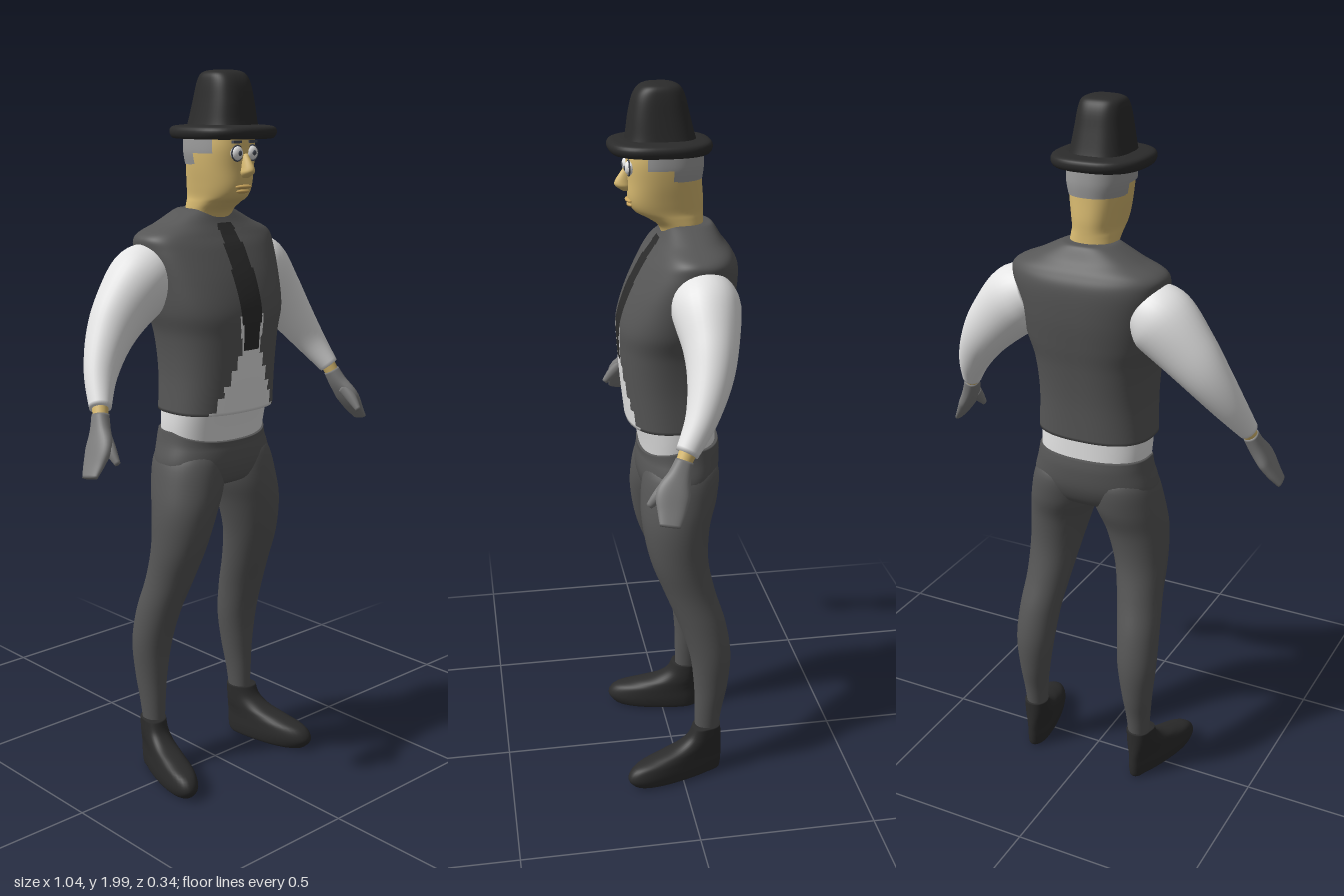
import * as THREE from 'three';

const mat = (name, color, double) => {
  const m = new THREE.MeshStandardMaterial({ color });
  m.name = name;
  if (double) m.side = THREE.DoubleSide;
  return m;
};

// Horizontal ring: height, half width, front z, back z, centre x
const H = (y, rx, zf, zb, cx = 0) => [cx, y, (zf + zb) / 2, rx, (zf - zb) / 2];

// Smooth interpolation between the given rings
function refine(rings, sub) {
  const out = [], n = rings.length;
  for (let i = 0; i < n - 1; i++) {
    const a = rings[Math.max(i - 1, 0)], b = rings[i], c = rings[i + 1], d = rings[Math.min(i + 2, n - 1)];
    for (let k = 0; k < sub; k++) {
      const t = k / sub;
      out.push(b.map((_, j) => 0.5 * (2 * b[j] + (c[j] - a[j]) * t
        + (2 * a[j] - 5 * b[j] + 4 * c[j] - d[j]) * t * t
        + (3 * b[j] - a[j] - 3 * c[j] + d[j]) * t * t * t)));
    }
  }
  out.push(rings[n - 1]);
  return out;
}

// Skin over superellipse rings [x, y, z, ru, rv]; path = rings follow the centre line,
// paint(x, y, z) picks a material index per face (-1 leaves a gap)
function loft(name, rings, material, { seg = 32, sub = 5, p = 2, path = false, paint, warp, caps = true } = {}) {
  const rs = refine(rings, sub), n = rs.length, pos = [];
  const centre = r => new THREE.Vector3(r[0], r[1], r[2]);
  rs.forEach((r, i) => {
    const T = new THREE.Vector3(0, 1, 0), V = new THREE.Vector3(0, 0, 1);
    if (path) {
      T.copy(centre(rs[Math.min(i + 1, n - 1)])).sub(centre(rs[Math.max(i - 1, 0)])).normalize();
      V.addScaledVector(T, -V.dot(T)).normalize();
    }
    const U = new THREE.Vector3().crossVectors(T, V);
    for (let j = 0; j < seg; j++) {
      const a = j / seg * Math.PI * 2, c = Math.cos(a), s = Math.sin(a);
      const q = centre(r)
        .addScaledVector(U, r[3] * Math.sign(c) * Math.abs(c) ** (2 / p))
        .addScaledVector(V, r[4] * Math.sign(s) * Math.abs(s) ** (2 / p));
      if (warp) warp(q);
      pos.push(q.x, q.y, q.z);
    }
  });
  for (const r of [rs[0], rs[n - 1]]) {
    const q = centre(r);
    if (warp) warp(q);
    pos.push(q.x, q.y, q.z);
  }
  const mats = Array.isArray(material) ? material : [material], lists = mats.map(() => []);
  const add = (corners, tris) => {
    const mid = k => corners.reduce((s, v) => s + pos[v * 3 + k], 0) / corners.length;
    const m = paint ? paint(mid(0), mid(1), mid(2)) : 0;
    if (m >= 0) lists[m].push(...tris);
  };
  for (let i = 0; i < n - 1; i++) for (let j = 0; j < seg; j++) {
    const k = (j + 1) % seg, a = i * seg + j, b = a + seg, c = i * seg + k, d = c + seg;
    add([a, b, c, d], [a, b, c, c, b, d]);
  }
  if (caps) for (let j = 0; j < seg; j++) {
    const k = (j + 1) % seg, e = (n - 1) * seg;
    add([j, k], [n * seg, j, k]);
    add([e + j, e + k], [n * seg + 1, e + k, e + j]);
  }
  const g = new THREE.BufferGeometry();
  g.setAttribute('position', new THREE.Float32BufferAttribute(pos, 3));
  g.setIndex(lists.flat());
  let start = 0;
  lists.forEach((l, m) => { g.addGroup(start, l.length, m); start += l.length; });
  g.computeVertexNormals();
  const mesh = new THREE.Mesh(g, Array.isArray(material) ? mats : material);
  mesh.name = name;
  return mesh;
}

export function createModel() {
  const root = new THREE.Group();
  root.name = 'figure';
  const vest = mat('vest grey', 0x565656), shirt = mat('shirt white', 0xe4e4e4), black = mat('hat black', 0x2b2b2b),
    skin = mat('skin', 0xd8ba70), hair = mat('hair grey', 0x9c9c9c, true), glove = mat('glove grey', 0x7c7c7c),
    lip = mat('lip', 0xc9a45c), dark = mat('pupil', 0x454a55);
  const put = (name, geo, m, x, y, z, sx = 1, sy = 1, sz = 1) => {
    const o = new THREE.Mesh(geo, m);
    o.name = name; o.position.set(x, y, z); o.scale.set(sx, sy, sz);
    root.add(o);
    return o;
  };

  // Shirt band above the trousers
  root.add(loft('shirtWaist', [H(0.98, 0.155, 0.085, -0.12), H(1.05, 0.161, 0.098, -0.119), H(1.12, 0.16, 0.115, -0.118)],
    shirt, { seg: 64, p: 2.3 }));

  // Waistcoat, with the tie and the stepped shirt opening as faces of it
  const paintVest = (x, y, z) => {
    const ax = Math.abs(x);
    if (z < 0 || y > 1.6) return 0;
    if (y < 1.25) return ax < 0.046 + 0.018 * Math.floor((1.25 - y) / 0.038) ? 1 : 0;
    const tie = 0.022 + 0.017 * Math.sin(Math.PI * (y - 1.25) / 0.38);
    if (y > 1.262 && ax < tie) return 2;
    return y < 1.36 && ax < tie + 0.008 ? 1 : 0;
  };
  root.add(loft('waistcoat', [
    H(1.09, 0.168, 0.128, -0.125), H(1.2, 0.164, 0.14, -0.13), H(1.3, 0.173, 0.147, -0.142),
    H(1.37, 0.193, 0.147, -0.155), H(1.45, 0.206, 0.122, -0.167), H(1.53, 0.218, 0.082, -0.17),
    H(1.57, 0.213, 0.055, -0.155), H(1.6, 0.15, 0.035, -0.132), H(1.632, 0.085, 0.018, -0.112), H(1.637, 0.066, 0.01, -0.1),
  ], [vest, shirt, black], { seg: 240, sub: 8, p: 2.5, paint: paintVest }));

  // Trousers: seat with a waistline dipping at the front, then the legs
  root.add(loft('trouserSeat', [
    H(0.87, 0.12, 0.05, -0.06), H(0.89, 0.165, 0.085, -0.1), H(0.94, 0.184, 0.1, -0.125), H(1.0, 0.17, 0.096, -0.131), H(1.035, 0.164, 0.096, -0.127),
  ], vest, { seg: 64, p: 2.3, warp: q => { if (q.z > 0 && q.y > 0.98) q.y -= 0.03 * q.z / 0.1 * (q.y - 0.98) / 0.055; } }));

  for (const s of [1, -1]) {
    const side = s > 0 ? 'left' : 'right';
    const leg = (y, inner, outer, zf, zb) => H(y, (outer - inner) / 2, zf, zb, s * (inner + outer) / 2);
    root.add(loft(side + 'TrouserLeg', [
      leg(0.15, 0.143, 0.202, -0.043, -0.112), leg(0.22, 0.137, 0.208, -0.042, -0.122), leg(0.3, 0.126, 0.216, -0.04, -0.138),
      leg(0.4, 0.111, 0.225, -0.028, -0.146), leg(0.5, 0.1, 0.222, 0.002, -0.132), leg(0.6, 0.083, 0.214, 0.042, -0.102),
      leg(0.7, 0.062, 0.214, 0.08, -0.083), leg(0.8, 0.032, 0.212, 0.1, -0.09), leg(0.88, 0.002, 0.2, 0.102, -0.113),
      leg(0.96, 0.0, 0.178, 0.088, -0.118), leg(1.0, 0.03, 0.14, 0.05, -0.08),
    ], vest, { seg: 40 }));

    // Shoe, turned out and widening toward the toe
    root.add(loft(side + 'Shoe', [
      H(0.008, 0.024, 0.13, -0.1), H(0.014, 0.034, 0.148, -0.115), H(0.04, 0.038, 0.165, -0.12), H(0.07, 0.037, 0.145, -0.121),
      H(0.09, 0.036, 0.085, -0.121), H(0.11, 0.036, 0.02, -0.12), H(0.135, 0.036, -0.018, -0.119), H(0.168, 0.036, -0.034, -0.118),
    ], black, {
      p: 2.2, seg: 40, warp: q => {
        const t = Math.max(0, q.z + 0.08);
        q.x = s * (0.174 + s * q.x * (1 + 1.7 * t) + 0.24 * t);
      },
    }));

    // Sleeve, wrist and mitten-like glove
    const arm = (x, y, z, ru, rv) => [s * x, y, z, ru, rv];
    root.add(loft(side + 'Sleeve', [
      arm(0.165, 1.478, -0.055, 0.08, 0.08), arm(0.215, 1.45, -0.057, 0.096, 0.09), arm(0.29, 1.375, -0.055, 0.081, 0.072),
      arm(0.345, 1.305, -0.042, 0.064, 0.058), arm(0.395, 1.225, -0.012, 0.046, 0.042), arm(0.432, 1.15, 0.032, 0.028, 0.03),
    ], shirt, { path: true, sub: 6 }));
    root.add(loft(side + 'Wrist', [arm(0.428, 1.16, 0.026, 0.022, 0.023), arm(0.441, 1.12, 0.045, 0.019, 0.02)], skin, { path: true }));
    root.add(loft(side + 'GloveHand', [
      arm(0.437, 1.135, 0.038, 0.021, 0.023), arm(0.45, 1.1, 0.053, 0.021, 0.03), arm(0.47, 1.06, 0.072, 0.019, 0.044),
      arm(0.492, 1.022, 0.08, 0.014, 0.037), arm(0.514, 0.99, 0.088, 0.008, 0.026),
    ], glove, { path: true, p: 2.4 }));
    root.add(loft(side + 'GloveThumb', [
      arm(0.452, 1.085, 0.075, 0.016, 0.02), arm(0.457, 1.055, 0.105, 0.014, 0.017), arm(0.457, 1.025, 0.132, 0.007, 0.009),
    ], glove, { path: true }));

    // Eye, pupil and brow
    const ball = new THREE.SphereGeometry(1, 20, 14);
    put(side + 'Eye', ball, shirt, s * 0.027, 1.787, 0.112, 0.019, 0.019, 0.014);
    put(side + 'Pupil', ball, dark, s * 0.026, 1.787, 0.124, 0.007, 0.007, 0.004);
    put(side + 'EyeRim', new THREE.TorusGeometry(0.02, 0.0022, 6, 24), dark, s * 0.027, 1.787, 0.115);
    put(side + 'Brow', new THREE.BoxGeometry(0.03, 0.007, 0.008), dark, s * 0.028, 1.816, 0.114);
  }

  // Neck and head
  root.add(loft('head', [
    H(1.57, 0.06, 0.02, -0.09), H(1.625, 0.064, 0.032, -0.086), H(1.652, 0.064, 0.066, -0.085), H(1.67, 0.064, 0.099, -0.085),
    H(1.7, 0.069, 0.114, -0.085), H(1.75, 0.077, 0.116, -0.081), H(1.8, 0.081, 0.118, -0.078), H(1.845, 0.078, 0.112, -0.075),
  ], skin, { seg: 48, p: 2.3 }));
  root.add(loft('hair', [H(1.755, 0.08, 0.12, -0.082), H(1.79, 0.086, 0.122, -0.086), H(1.84, 0.085, 0.118, -0.084)], hair,
    { seg: 64, sub: 10, p: 2.3, caps: false, paint: (x, y, z) => z > 0.07 || (z > 0 && y < 1.785) ? -1 : 0 }));
  root.add(loft('nose', [H(1.722, 0.007, 0.126, 0.1), H(1.735, 0.016, 0.146, 0.1), H(1.75, 0.014, 0.148, 0.1), H(1.785, 0.007, 0.124, 0.1)], skin, { seg: 20 }));
  const lips = new THREE.SphereGeometry(1, 20, 10);
  put('upperLip', lips, lip, 0, 1.699, 0.111, 0.029, 0.006, 0.011);
  put('lowerLip', lips, lip, 0, 1.687, 0.107, 0.023, 0.006, 0.011);

  // Hat: rolled brim and tapering crown
  root.add(loft('hatBrim', [
    H(1.828, 0.07, 0.1, -0.06), H(1.823, 0.115, 0.15, -0.092), H(1.83, 0.126, 0.163, -0.103), H(1.843, 0.129, 0.167, -0.106),
    H(1.854, 0.122, 0.16, -0.1), H(1.858, 0.1, 0.14, -0.08), H(1.86, 0.07, 0.1, -0.05),
  ], black, { seg: 48, sub: 3, p: 2.6 }));
  root.add(loft('hatCrown', [
    H(1.845, 0.083, 0.124, -0.068), H(1.87, 0.078, 0.118, -0.06), H(1.92, 0.07, 0.111, -0.047), H(1.965, 0.063, 0.1, -0.036),
    H(1.988, 0.056, 0.085, -0.024), H(1.997, 0.042, 0.068, -0.008), H(2.0, 0.02, 0.05, 0.012),
  ], black, { seg: 48, sub: 4, p: 2.8 }));
  return root;
}
